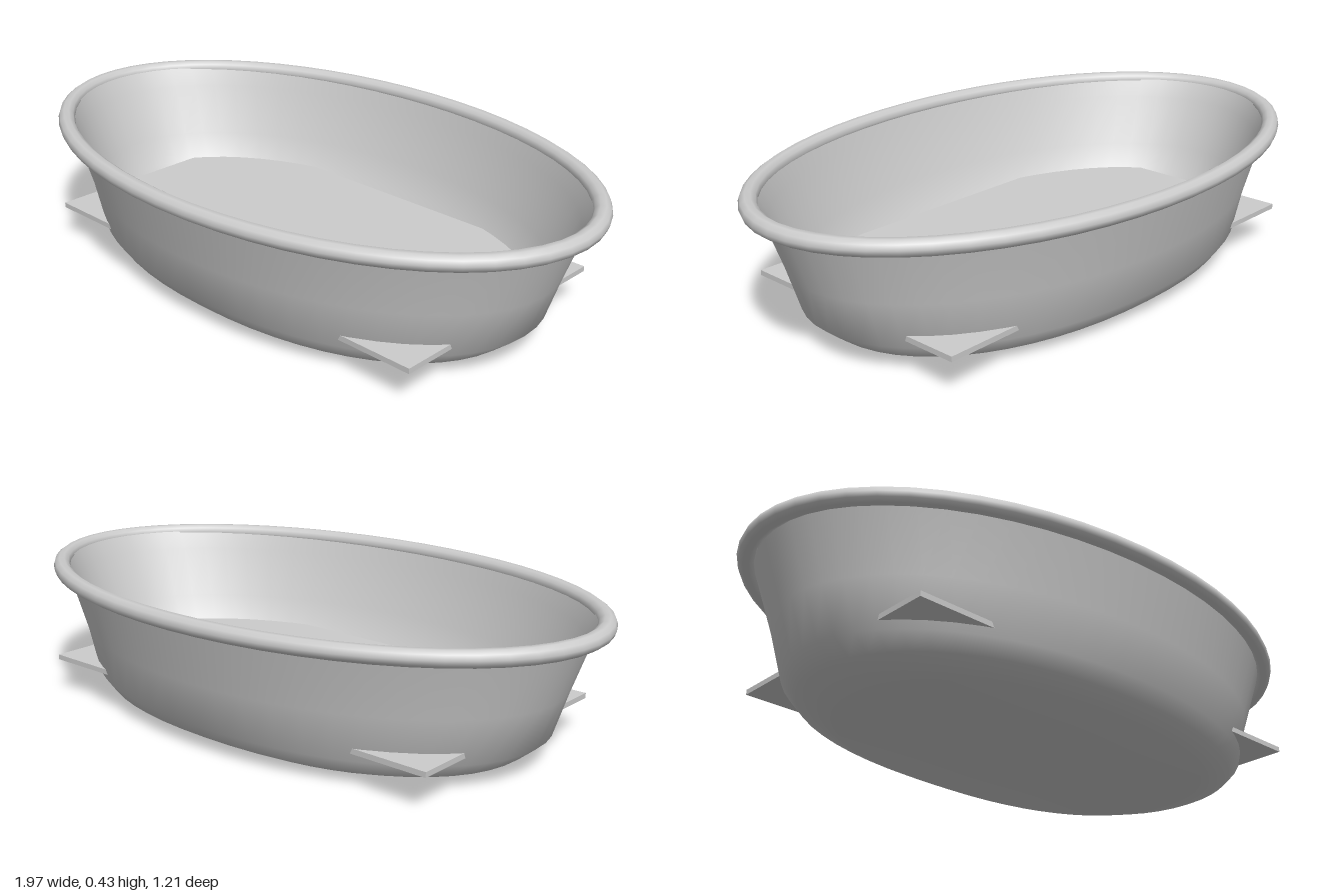
import * as THREE from 'three';
import { toCreasedNormals } from 'three/addons/utils/BufferGeometryUtils.js';

const material = new THREE.MeshStandardMaterial({ color: 0xcccccc, side: THREE.DoubleSide });
const SEGMENTS = 56;

// Point on a rounded oval; power 2 is an ellipse, higher is squarer
function oval(rx, rz, power, angle) {
  const bend = (v) => Math.sign(v) * Math.abs(v) ** (2 / power);
  return [rx * bend(Math.cos(angle)), rz * bend(Math.sin(angle))];
}

// Skin over a stack of oval rings [rx, rz, y, power]
function ovalSkin(rings) {
  const positions = [], index = [];
  for (const [rx, rz, y, power = 2] of rings) {
    for (let j = 0; j < SEGMENTS; j++) {
      const [x, z] = oval(rx, rz, power, (j / SEGMENTS) * Math.PI * 2);
      positions.push(x, y, z);
    }
  }
  for (let i = 0; i < rings.length - 1; i++) {
    for (let j = 0; j < SEGMENTS; j++) {
      const k = (j + 1) % SEGMENTS;
      const a = i * SEGMENTS + j, b = a + SEGMENTS;
      const c = i * SEGMENTS + k, d = c + SEGMENTS;
      index.push(a, b, c, c, b, d);
    }
  }
  const geometry = new THREE.BufferGeometry();
  geometry.setAttribute('position', new THREE.Float32BufferAttribute(positions, 3));
  geometry.setIndex(index);
  return toCreasedNormals(geometry, 1);
}

function addPart(parent, name, geometry) {
  const mesh = new THREE.Mesh(geometry, material);
  mesh.name = name;
  parent.add(mesh);
  return mesh;
}

export function createModel() {
  const group = new THREE.Group();
  group.name = 'ovalBasin';

  // Outer shell: flat underside, chamfered foot, flaring wall
  addPart(group, 'outerShell', ovalSkin([
    [0.001, 0.001, 0, 2.3],
    [0.64, 0.38, 0, 2.3],
    [0.76, 0.45, 0.035, 2.2],
    [0.815, 0.485, 0.08, 2.1],
    [0.865, 0.52, 0.22],
    [0.93, 0.565, 0.40],
  ]));

  // Inner wall, running down past the edge of the floor panel
  addPart(group, 'innerWall', ovalSkin([
    [0.93, 0.555, 0.415],
    [0.90, 0.54, 0.36],
    [0.835, 0.49, 0.20],
    [0.785, 0.45, 0.115],
    [0.72, 0.40, 0.05],
  ]));

  // Flat floor panel whose four corners poke out through the wall
  addPart(group, 'floorPanel', new THREE.BoxGeometry(1.48, 0.016, 0.8))
    .position.y = 0.112;

  // Rolled rim
  const rim = [];
  for (let i = 0; i <= 10; i++) {
    const t = (i / 10) * Math.PI * 2;
    const r = 0.027 * Math.cos(t);
    rim.push([0.957 + r, 0.576 + r, 0.411 + 0.025 * Math.sin(t)]);
  }
  addPart(group, 'rim', ovalSkin(rim));

  group.position.x = -0.012;
  return group;
}
